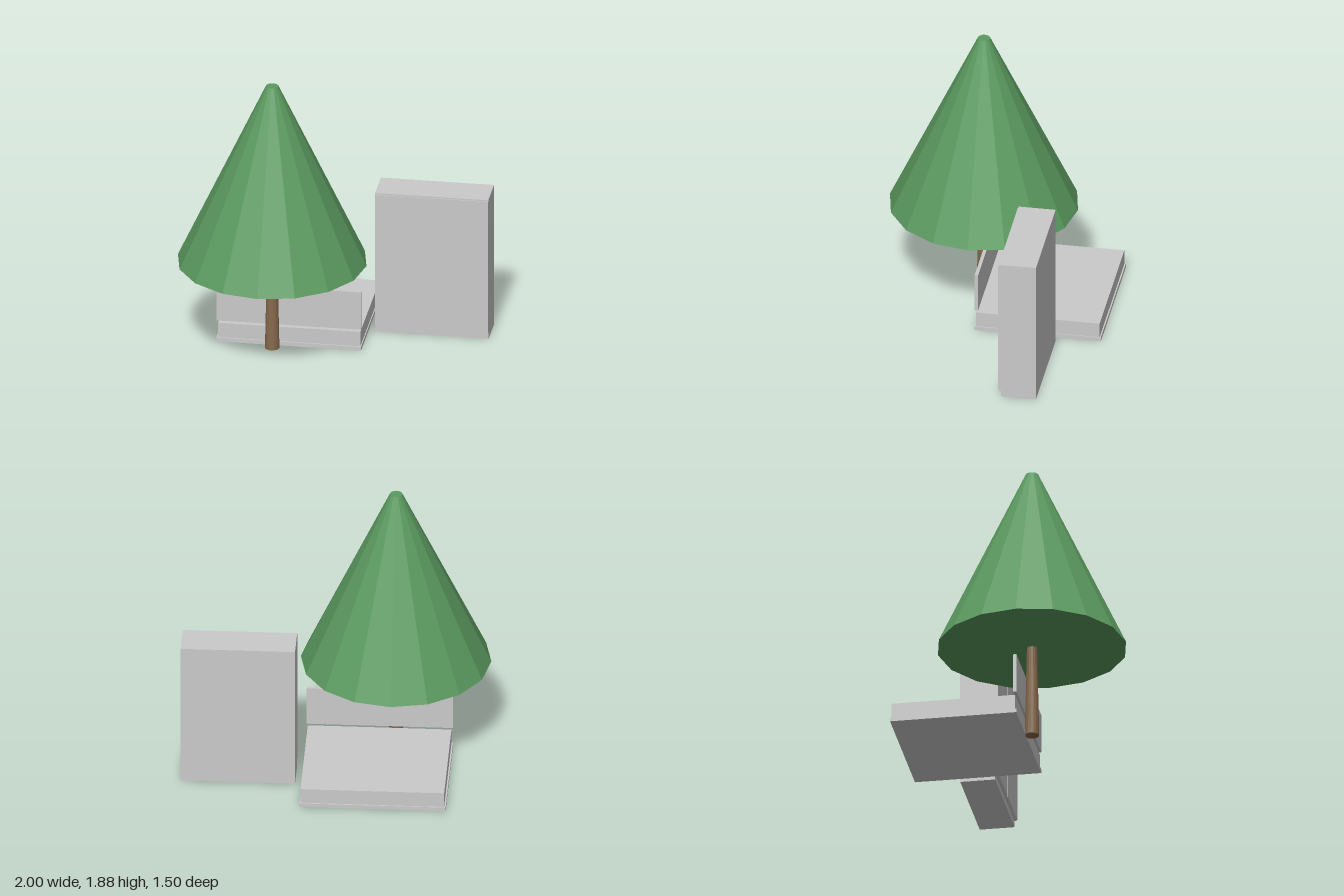
import * as THREE from 'three';

export function createModel() {
  const model = new THREE.Group();
  model.name = 'treeBedAndWardrobe';

  const material = (name, color) => {
    const m = new THREE.MeshStandardMaterial({ color, flatShading: true });
    m.name = name;
    return m;
  };
  const green = material('leafGreen', 0x5b9a60);
  const brown = material('barkBrown', 0x86694c);
  const grey = material('lightGrey', 0xcacaca);

  const group = (name) => {
    const g = new THREE.Group();
    g.name = name;
    model.add(g);
    return g;
  };
  // Box given by its limits along each axis
  const box = (parent, name, [x0, x1], [y0, y1], [z0, z1]) => {
    const mesh = new THREE.Mesh(new THREE.BoxGeometry(x1 - x0, y1 - y0, z1 - z0), grey);
    mesh.position.set((x0 + x1) / 2, (y0 + y1) / 2, (z0 + z1) / 2);
    mesh.name = name;
    parent.add(mesh);
  };
  // Upright tapered cylinder given by its bottom and top heights
  const taper = (parent, name, mat, rTop, rBottom, y0, y1) => {
    const mesh = new THREE.Mesh(new THREE.CylinderGeometry(rTop, rBottom, y1 - y0, 16), mat);
    mesh.position.y = (y0 + y1) / 2;
    mesh.name = name;
    parent.add(mesh);
  };

  // Conifer with a sixteen-sided crown
  const tree = group('tree');
  tree.position.set(-0.377, 0, 0.124);
  taper(tree, 'trunk', brown, 0.034, 0.048, 0, 0.64);
  taper(tree, 'crown', green, 0.041, 0.623, 0.628, 1.878);

  // Low bed with a floating headboard
  const bed = group('bed');
  box(bed, 'bedBase', [-0.752, 0.204], [0, 0.027], [-0.752, 0.085]);
  box(bed, 'mattress', [-0.742, 0.198], [0.027, 0.13], [-0.743, 0.076]);
  box(bed, 'headboard', [-0.752, 0.204], [0.15, 0.418], [0.062, 0.085]);

  // Wardrobe with two doors above a recessed plinth
  const wardrobe = group('wardrobe');
  box(wardrobe, 'plinth', [0.25, 0.998], [0, 0.044], [-0.46, -0.229]);
  box(wardrobe, 'cabinet', [0.25, 0.998], [0.044, 1], [-0.46, -0.216]);
  box(wardrobe, 'leftDoor', [0.627, 0.998], [0.05, 0.99], [-0.216, -0.21]);
  box(wardrobe, 'rightDoor', [0.25, 0.621], [0.05, 0.99], [-0.216, -0.21]);

  return model;
}
